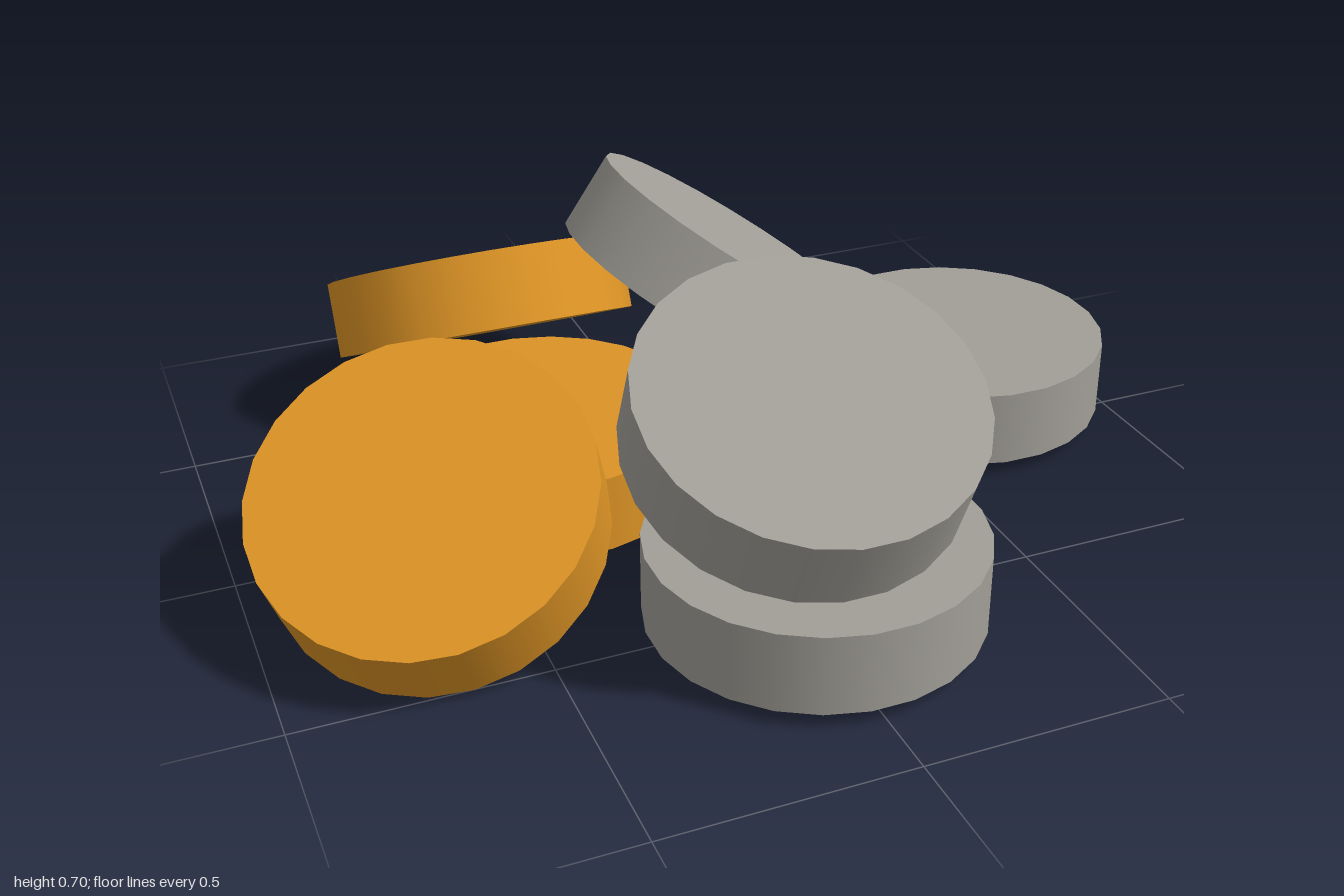
import * as THREE from 'three';

export function createModel() {
  const model = new THREE.Group();
  model.name = 'scatteredDiscs';

  const gold = new THREE.MeshStandardMaterial({ color: 0xdc9325 });
  gold.name = 'gold';
  const silver = new THREE.MeshStandardMaterial({ color: 0xa19e97 });
  silver.name = 'silver';

  // One thick 24-sided disc, shared by every piece
  const disc = new THREE.CylinderGeometry(0.332, 0.332, 0.165, 24, 1, false, Math.PI / 24);
  const up = new THREE.Vector3(0, 1, 0);

  // Places a disc by its centre and the direction its top face points
  function addDisc(name, material, centre, normal = [0, 1, 0]) {
    const mesh = new THREE.Mesh(disc, material);
    mesh.name = name;
    mesh.position.set(...centre);
    mesh.quaternion.setFromUnitVectors(up, new THREE.Vector3(...normal).normalize());
    model.add(mesh);
  }

  // Discs lying flat
  addDisc('flatSilverDiscLeft', silver, [0.67, 0.118, -0.13]);
  addDisc('flatSilverDiscFront', silver, [0.01, 0.118, 0.535]);
  addDisc('flatGoldDisc', gold, [-0.322, 0.118, -0.13]);

  // Discs leaning on the others
  addDisc('leaningSilverDiscMiddle', silver, [0.09, 0.447, -0.13], [0.569, 0.823, 0]);
  addDisc('leaningSilverDiscFront', silver, [-0.025, 0.45, 0.54], [0, 0.91, 0.415]);
  addDisc('leaningGoldDiscBack', gold, [-0.324, 0.28, -0.54], [0, 0.886, -0.463]);
  addDisc('leaningGoldDiscRight', gold, [-0.66, 0.25, 0.266], [-0.27, 0.85, 0.455]);

  return model;
}
